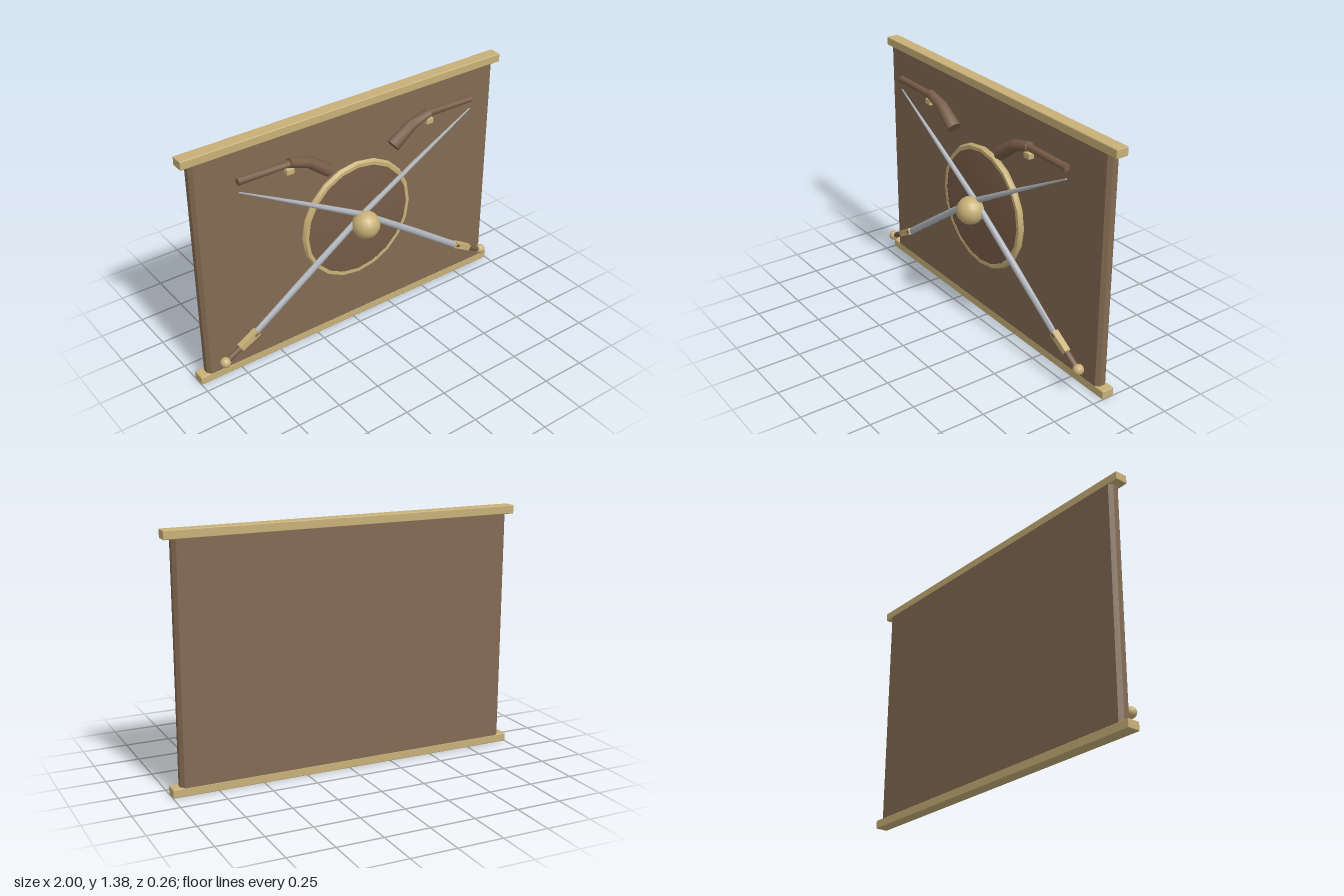
import * as THREE from 'three';
import { toCreasedNormals } from 'three/addons/utils/BufferGeometryUtils.js';
import { RoundedBoxGeometry } from 'three/addons/geometries/RoundedBoxGeometry.js';

const mat = (name, color) => {
  const m = new THREE.MeshStandardMaterial({ color });
  m.name = name;
  return m;
};

// Solid along a bent path in the xy plane; each station is [x, y, z, half width, half depth]
function loft(stations, sides, crease = 0.9) {
  const pos = [], index = [], n = stations.length;
  stations.forEach(([x, y, z, w, d], i) => {
    const a = stations[Math.max(i - 1, 0)], b = stations[Math.min(i + 1, n - 1)];
    const len = Math.hypot(b[0] - a[0], b[1] - a[1]);
    const nx = -(b[1] - a[1]) / len, ny = (b[0] - a[0]) / len;
    for (let j = 0; j < sides; j++) {
      const t = ((j + 0.5) / sides) * Math.PI * 2, c = Math.cos(t) * w;
      pos.push(x + nx * c, y + ny * c, z + Math.sin(t) * d);
    }
  });
  for (let i = 0; i < n - 1; i++) for (let j = 0; j < sides; j++) {
    const k = (j + 1) % sides, a = i * sides, b = a + sides;
    index.push(a + j, a + k, b + k, a + j, b + k, b + j);
  }
  const last = (n - 1) * sides;
  for (let j = 1; j < sides - 1; j++) {
    index.push(0, j + 1, j, last, last + j, last + j + 1);
  }
  const g = new THREE.BufferGeometry();
  g.setAttribute('position', new THREE.Float32BufferAttribute(pos, 3));
  g.setIndex(index);
  return toCreasedNormals(g, crease);
}

export function createModel() {
  const wood = mat('board wood', 0x826a52);
  const darkWood = mat('dark wood', 0x775c47);
  const brass = mat('brass', 0xc8b078);
  const steel = mat('steel', 0xb0b5bc);

  const model = new THREE.Group();
  model.name = 'wallDisplay';
  const add = (parent, name, geometry, material, x = 0, y = 0, z = 0) => {
    const m = new THREE.Mesh(geometry, material);
    m.name = name;
    m.position.set(x, y, z);
    parent.add(m);
    return m;
  };
  const group = (name) => {
    const g = new THREE.Group();
    g.name = name;
    model.add(g);
    return g;
  };

  // Backboard with chamfered upright edges
  const W = 0.955, D = 0.035, cx = 0.018, cz = 0.02;
  const outline = new THREE.Shape([
    [-W + cx, -D], [W - cx, -D], [W, -D + cz], [W, D - cz],
    [W - cx, D], [-W + cx, D], [-W, D - cz], [-W, -D + cz],
  ].map(([x, y]) => new THREE.Vector2(x, y)));
  const board = new THREE.ExtrudeGeometry(outline, { depth: 1.33, bevelEnabled: false });
  board.rotateX(-Math.PI / 2);
  add(model, 'backboard', board, wood, 0, 0.02, -0.095);

  // Top and bottom rails
  for (const [name, y] of [['bottomRail', 0.024], ['topRail', 1.351]]) {
    add(model, name, new RoundedBoxGeometry(2, 0.048, 0.072, 1, 0.005), brass, 0, y, -0.095);
  }

  // Round shield: shallow dome, rim and boss
  const shield = group('shield');
  const profile = [[0, -0.05], [0.32, -0.05], [0.335, -0.03], [0.325, -0.014],
    [0.24, -0.005], [0.12, 0.001], [0, 0.003]].map(([x, y]) => new THREE.Vector2(x, y));
  const dome = new THREE.LatheGeometry(profile, 20);
  dome.rotateX(Math.PI / 2);
  add(shield, 'shieldBody', toCreasedNormals(dome, 0.4), darkWood, 0, 0.693, 0);
  const rim = new THREE.TorusGeometry(0.334, 0.02, 6, 20);
  add(shield, 'shieldRim', toCreasedNormals(rim, 0.4), brass, 0, 0.693, -0.03);
  add(shield, 'shieldBoss', new THREE.SphereGeometry(0.078, 16, 12), brass, 0, 0.693, 0.052);

  for (const s of [1, -1]) {
    const side = s > 0 ? 'left' : 'right';
    const path = (stations) => stations.map(([x, ...rest]) => [x * s, ...rest]);

    // Sword, from the pommel low on this side to the tip high on the other
    const sword = group(side + 'Sword');
    add(sword, 'blade', loft(path([
      [0.71, 0.24, 0.008, 0.02, 0.013],
      [0.35, 0.497, 0.014, 0.02, 0.018],
      [0, 0.742, 0.02, 0.018, 0.016],
      [-0.37, 0.948, 0.015, 0.012, 0.012],
      [-0.735, 1.147, 0.01, 0.004, 0.004],
    ]), 8), steel);
    add(sword, 'grip', loft(path([
      [0.875, 0.15, 0.01, 0.016, 0.016], [0.685, 0.261, 0.01, 0.02, 0.02],
    ]), 8), darkWood);
    add(sword, 'guard', loft(path([
      [0.79, 0.2, 0.01, 0.024, 0.024], [0.682, 0.263, 0.01, 0.026, 0.026],
    ]), 4), brass);
    add(sword, 'pommel', new THREE.SphereGeometry(0.03, 10, 8), brass, s * 0.885, 0.147, 0.01);

    // Pistol with its muzzle outward
    const pistol = group(side + 'Pistol');
    add(pistol, 'barrel', loft(path([
      [0.74, 1.208, 0.01, 0.019, 0.019], [0.42, 1.208, 0.01, 0.019, 0.019],
    ]), 8), darkWood);
    add(pistol, 'stock', loft(path([
      [0.445, 1.213, 0.01, 0.026, 0.028],
      [0.33, 1.178, 0.01, 0.031, 0.034],
      [0.208, 1.09, 0.01, 0.037, 0.042],
    ]), 8), darkWood);
    add(pistol, 'trigger', new RoundedBoxGeometry(0.046, 0.032, 0.034, 1, 0.004), brass,
      s * 0.444, 1.166, 0.01);
  }
  return model;
}
